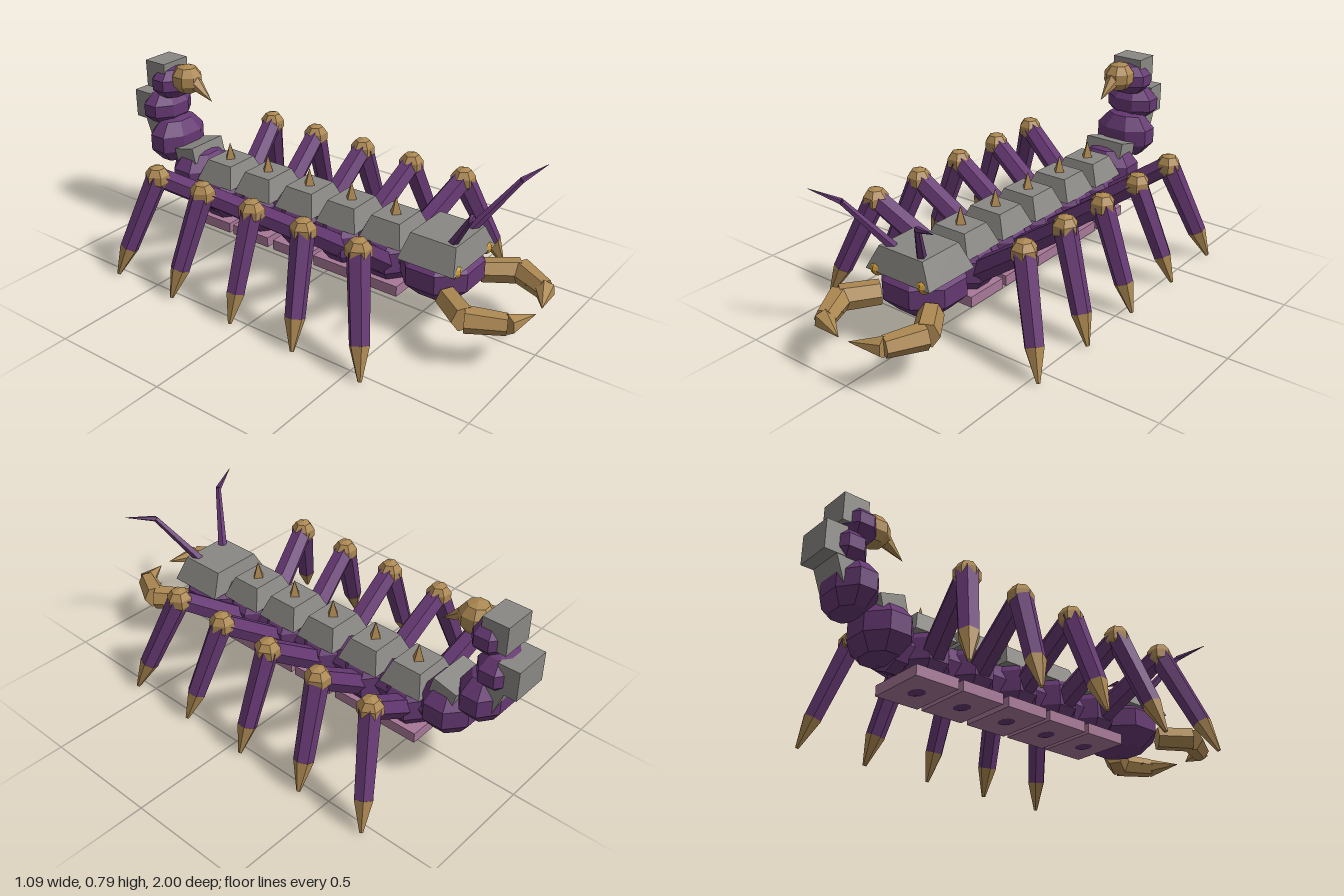
import * as THREE from 'three';

const V = (x, y, z) => new THREE.Vector3(x, y, z);

export function createModel() {
  const mat = (name, color) => {
    const m = new THREE.MeshStandardMaterial({ color, flatShading: true });
    m.name = name;
    return m;
  };
  const purple = mat('purple shell', 0x653872);
  const grey = mat('grey armour', 0x8a8884);
  const tan = mat('tan horn', 0xac8852);
  const pink = mat('pink belly', 0xa87898);
  const gold = mat('gold eye', 0xc8983a);

  const root = new THREE.Group();
  root.name = 'scorpion';
  const add = (name, geo, material, pos = V(0, 0, 0), parent = root) => {
    const m = new THREE.Mesh(geo, material);
    m.name = name;
    m.position.copy(pos);
    parent.add(m);
    return m;
  };
  // Faceted ball with flat sides
  const ball = (name, material, pos, rx, ry, rz, parent) => {
    const g = new THREE.SphereGeometry(1, 8, 5).rotateY(Math.PI / 8);
    g.scale(rx / 0.92, ry, rz / 0.92);
    return add(name, g, material, pos, parent);
  };
  // Tapered bar from a to b
  const bar = (name, material, a, b, ra, rb, parent, sides = 6) => {
    const d = b.clone().sub(a);
    const m = add(name, new THREE.CylinderGeometry(rb, ra, d.length(), sides), material,
      a.clone().add(b).multiplyScalar(0.5), parent);
    m.quaternion.setFromUnitVectors(V(0, 1, 0), d.normalize());
    return m;
  };
  // Box whose top face is shrunk
  const plate = (name, pos, w, h, d, sx, sz) => {
    const g = new THREE.BoxGeometry(w, h, d);
    const p = g.attributes.position;
    for (let i = 0; i < p.count; i++) {
      if (p.getY(i) > 0) p.setXYZ(i, p.getX(i) * sx, p.getY(i), p.getZ(i) * sz);
    }
    g.computeVertexNormals();
    return add(name, g, grey, pos);
  };

  // Trunk: five armoured segments, each with belly plate, spike and leg pair
  bar('bodyCore', purple, V(0, 0.25, -0.66), V(0, 0.25, 0.55), 0.09, 0.09, root, 8);
  const kneeZ = [0.44, 0.185, -0.07, -0.33, -0.585];
  const footZ = [0.57, 0.255, -0.06, -0.38, -0.695];
  [0.355, 0.14, -0.075, -0.3, -0.515].forEach((z, i) => {
    ball('bodySegment', purple, V(0, 0.245, z), 0.14, 0.14, 0.11);
    plate('backPlate', V(0, 0.36, z), 0.23, 0.09, 0.195, 0.65, 0.68);
    add('bellyPlate', new THREE.BoxGeometry(0.26, 0.045, 0.195), pink, V(0, 0.14, z));
    bar('backSpike', tan, V(0, 0.395, z), V(0, 0.478, z), 0.03, 0, root, 4);
    for (const s of [-1, 1]) {
      const leg = new THREE.Group();
      leg.name = s > 0 ? 'leftLeg' : 'rightLeg';
      root.add(leg);
      const hip = V(s * 0.1, 0.235, z + (kneeZ[i] - z) * 0.1);
      const knee = V(s * 0.375, 0.435, kneeZ[i]);
      const foot = V(s * 0.54, 0.005, footZ[i]);
      const ankle = knee.clone().lerp(foot, 0.72);
      bar('upperLeg', purple, hip, knee, 0.05, 0.045, leg);
      bar('lowerLeg', purple, knee, ankle, 0.048, 0.04, leg);
      bar('claw', tan, ankle, foot, 0.041, 0.008, leg);
      add('knee', new THREE.SphereGeometry(0.055, 6, 5), tan, V(s * 0.375, 0.432, kneeZ[i]), leg);
    }
  });

  // Head
  ball('head', purple, V(0, 0.25, 0.575), 0.17, 0.125, 0.16);
  plate('headPlate', V(0, 0.36, 0.593), 0.32, 0.1, 0.25, 0.68, 0.8);
  for (const s of [-1, 1]) {
    add('eye', new THREE.SphereGeometry(0.03, 8, 6), gold, V(s * 0.118, 0.315, 0.695));

    // Antenna
    const elbow = V(s * 0.185, 0.6, 0.79);
    bar('antennaBase', purple, V(s * 0.07, 0.4, 0.655), elbow, 0.02, 0.012, root, 5);
    bar('antennaTip', purple, elbow, V(s * 0.305, 0.637, 0.84), 0.013, 0.001, root, 5);

    // Pincer: arm, forearm and curved tip
    const pincer = new THREE.Group();
    pincer.name = s > 0 ? 'leftPincer' : 'rightPincer';
    root.add(pincer);
    const joint = V(s * 0.218, 0.2, 0.805), bend = V(s * 0.15, 0.197, 0.945);
    bar('pincerArm', tan, V(s * 0.13, 0.2, 0.68), joint, 0.05, 0.053, pincer);
    bar('pincerForearm', tan, joint, bend, 0.053, 0.042, pincer);
    bar('pincerTip', tan, bend, V(s * 0.025, 0.195, 0.995), 0.042, 0.001, pincer);
    bar('pincerTooth', tan, V(s * 0.17, 0.2, 0.87), V(s * 0.12, 0.2, 0.875), 0.016, 0, pincer, 4);
  }

  // Tail curling upward: y, z and half sizes of each joint
  [
    [0.3, -0.69, 0.14, 0.125, 0.115],
    [0.43, -0.835, 0.135, 0.115, 0.095],
    [0.57, -0.885, 0.118, 0.085, 0.085],
    [0.695, -0.84, 0.102, 0.078, 0.08],
  ].forEach(([y, z, rx, ry, rz]) => ball('tailSegment', purple, V(0, y, z), rx, ry, rz));

  // Tail armour: y, z, tilt, width, height, depth
  [
    [0.395, -0.7, -0.25, 0.19, 0.07, 0.11],
    [0.475, -0.89, -0.35, 0.16, 0.12, 0.08],
    [0.577, -0.955, 0, 0.165, 0.125, 0.09],
    [0.73, -0.875, 0, 0.143, 0.12, 0.11],
  ].forEach(([y, z, tilt, w, h, d]) => {
    add('tailPlate', new THREE.BoxGeometry(w, h, d), grey, V(0, y, z)).rotation.x = tilt;
  });

  // Stinger
  ball('stingerBulb', tan, V(0, 0.72, -0.755), 0.064, 0.068, 0.068);
  bar('stinger', tan, V(0, 0.725, -0.73), V(0, 0.645, -0.61), 0.042, 0, root, 6);

  return root;
}
